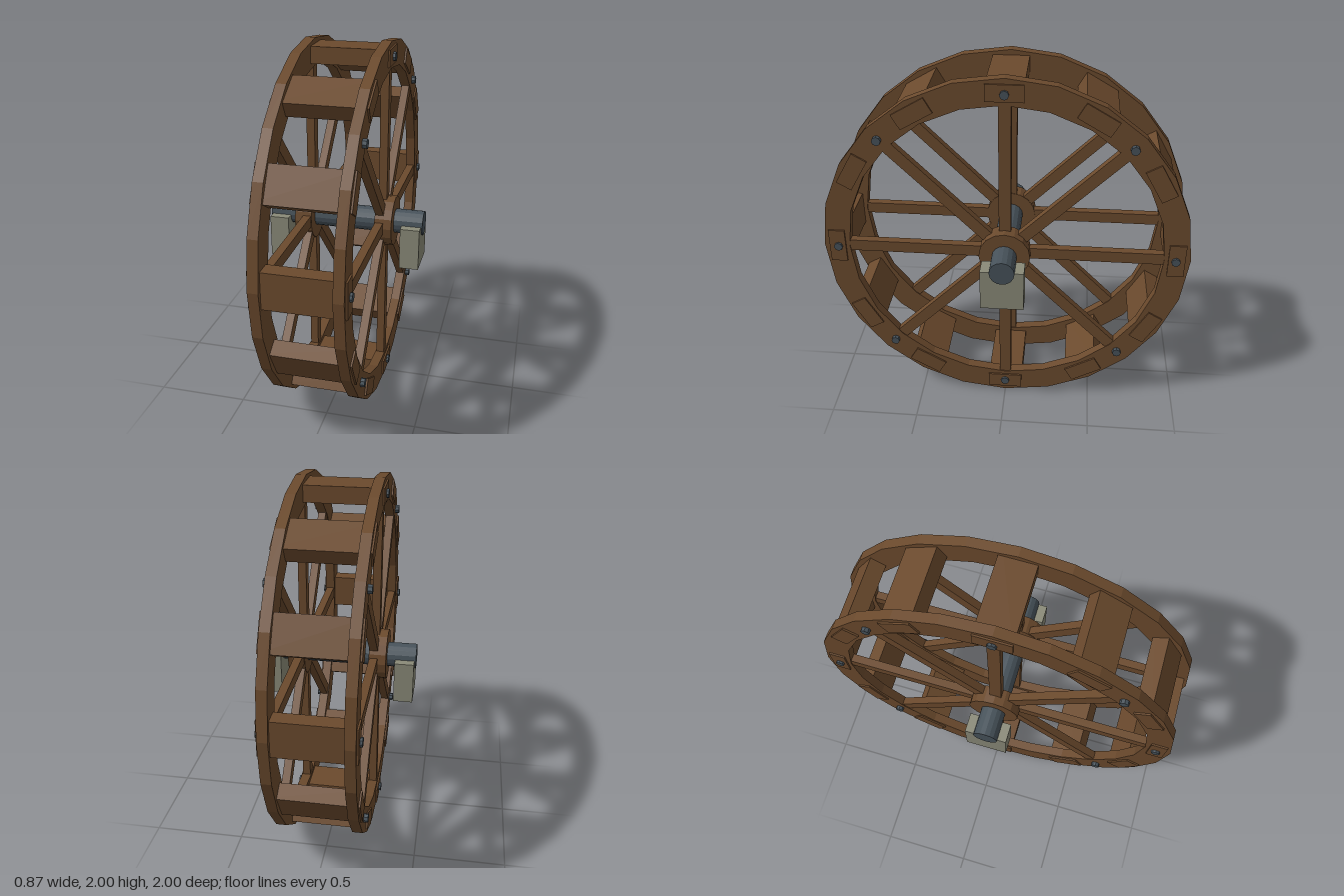
import * as THREE from 'three';

const material = (color) => new THREE.MeshStandardMaterial({ color, flatShading: true });

export function createModel() {
  const group = new THREE.Group();
  const wheel = new THREE.Group();
  wheel.name = 'waterWheel';
  wheel.position.y = 1;
  group.add(wheel);

  const wood = material(0x6b4a2d);
  const metal = material(0x47525a);
  const stone = material(0x8a8a78);

  const add = (name, geometry, mat, parent = wheel) => {
    const mesh = new THREE.Mesh(geometry, mat);
    mesh.name = name;
    parent.add(mesh);
    return mesh;
  };
  // cylinder lying along x
  const rod = (r, length, sides) => new THREE.CylinderGeometry(r, r, length, sides).rotateZ(Math.PI / 2);
  // empty turned about the axle, so that its +y points outwards
  const spun = (name, angle) => {
    const arm = new THREE.Group();
    arm.name = name;
    arm.rotation.x = angle;
    wheel.add(arm);
    return arm;
  };

  // 24-sided ring, extruded along x
  const ringPoints = (r) => Array.from({ length: 24 }, (_, i) => {
    const a = (i / 24) * Math.PI * 2;
    return new THREE.Vector2(Math.cos(a) * r, Math.sin(a) * r);
  });
  const ring = new THREE.Shape(ringPoints(1));
  ring.holes.push(new THREE.Path(ringPoints(0.86).reverse()));
  const rimGeo = new THREE.ExtrudeGeometry(ring, { depth: 0.055, bevelEnabled: false })
    .translate(0, 0, -0.0275).rotateY(Math.PI / 2);

  const hubGeo = rod(0.14, 0.095, 16);
  const spokeGeo = new THREE.BoxGeometry(0.045, 0.8, 0.065);
  const boltGeo = rod(0.024, 0.03, 8);
  const bearingGeo = new THREE.BoxGeometry(0.107, 0.235, 0.235);

  // both sides: rim, hub, bearing block
  for (const s of [-1, 1]) {
    add('rim', rimGeo, wood).position.x = s * 0.205;
    add('hub', hubGeo, wood).position.x = s * 0.2265;
    add('bearingBlock', bearingGeo, stone).position.set(s * 0.374, -0.1175, 0);
  }

  // eight spokes per side, each bolted to its rim
  for (let i = 0; i < 8; i++) {
    const arm = spun('spokePair', (i * Math.PI) / 4);
    for (const s of [-1, 1]) {
      add('spoke', spokeGeo, wood, arm).position.set(s * 0.205, 0.48, 0);
      add('bolt', boltGeo, metal, arm).position.set(s * 0.24, 0.92, 0);
    }
  }

  // twelve paddles through both rims
  const paddleGeo = new THREE.BoxGeometry(0.484, 0.09, 0.195);
  for (let i = 0; i < 12; i++) {
    add('paddle', paddleGeo, wood, spun('paddleArm', (i * Math.PI) / 6)).position.y = 0.925;
  }

  // axle
  add('axle', rod(0.068, 0.87, 16), metal);

  return group;
}
